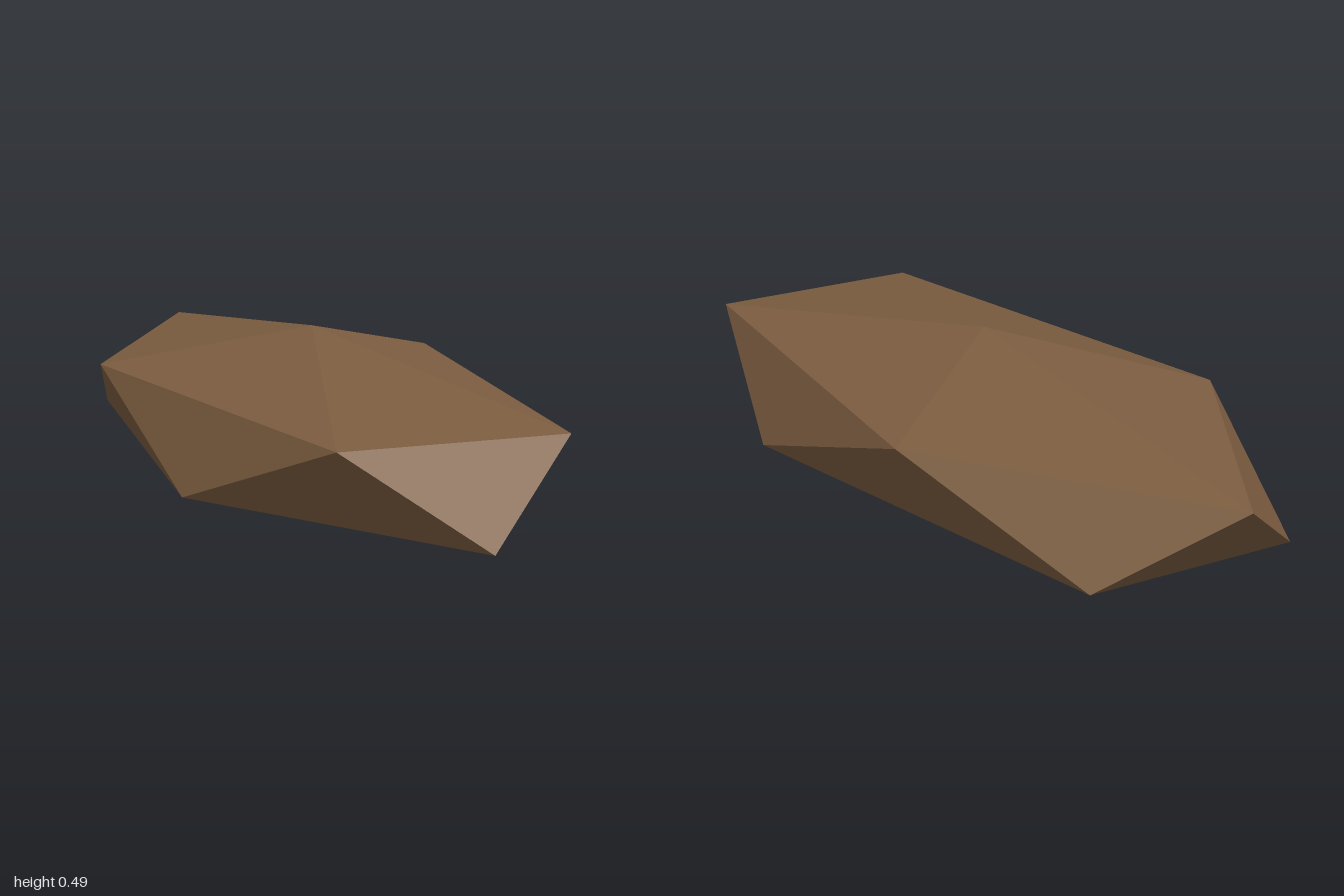
import * as THREE from 'three';

// Half-axes of the skewed elliptical rings, as (x, z) pairs
const A = [0.59, -1.0], B = [0.44, 0.262];
const CENTRE = 0.25, HALF = 0.245, RING = HALF / Math.sqrt(5);

function ringPoint(step, y) {
  const a = step * Math.PI * 2 / 5, c = Math.cos(a), s = Math.sin(a);
  return [A[0] * c + B[0] * s, y, A[1] * c + B[1] * s];
}

export function createModel() {
  const brown = new THREE.MeshStandardMaterial({ color: 0x7c5d40 });
  const top = [0, CENTRE + HALF, 0], bottom = [0, CENTRE - HALF, 0];
  const upper = k => ringPoint(k, CENTRE + RING);
  const lower = k => ringPoint(k + 0.5, CENTRE - RING);

  // Two caps joined by a zigzag belt: a stretched, flattened icosahedron
  const positions = [];
  const face = (...corners) => corners.forEach(c => positions.push(...c));
  for (let k = 0; k < 5; k++) {
    face(top, upper(k + 1), upper(k));
    face(upper(k), upper(k + 1), lower(k));
    face(lower(k), upper(k + 1), lower(k + 1));
    face(bottom, lower(k), lower(k + 1));
  }

  // Unshared corners give each facet its own flat normal
  const geometry = new THREE.BufferGeometry();
  geometry.setAttribute('position', new THREE.Float32BufferAttribute(positions, 3));
  geometry.computeVertexNormals();

  const rock = new THREE.Mesh(geometry, brown);
  rock.name = 'rock';
  const model = new THREE.Group();
  model.name = 'flatRock';
  model.add(rock);
  return model;
}
